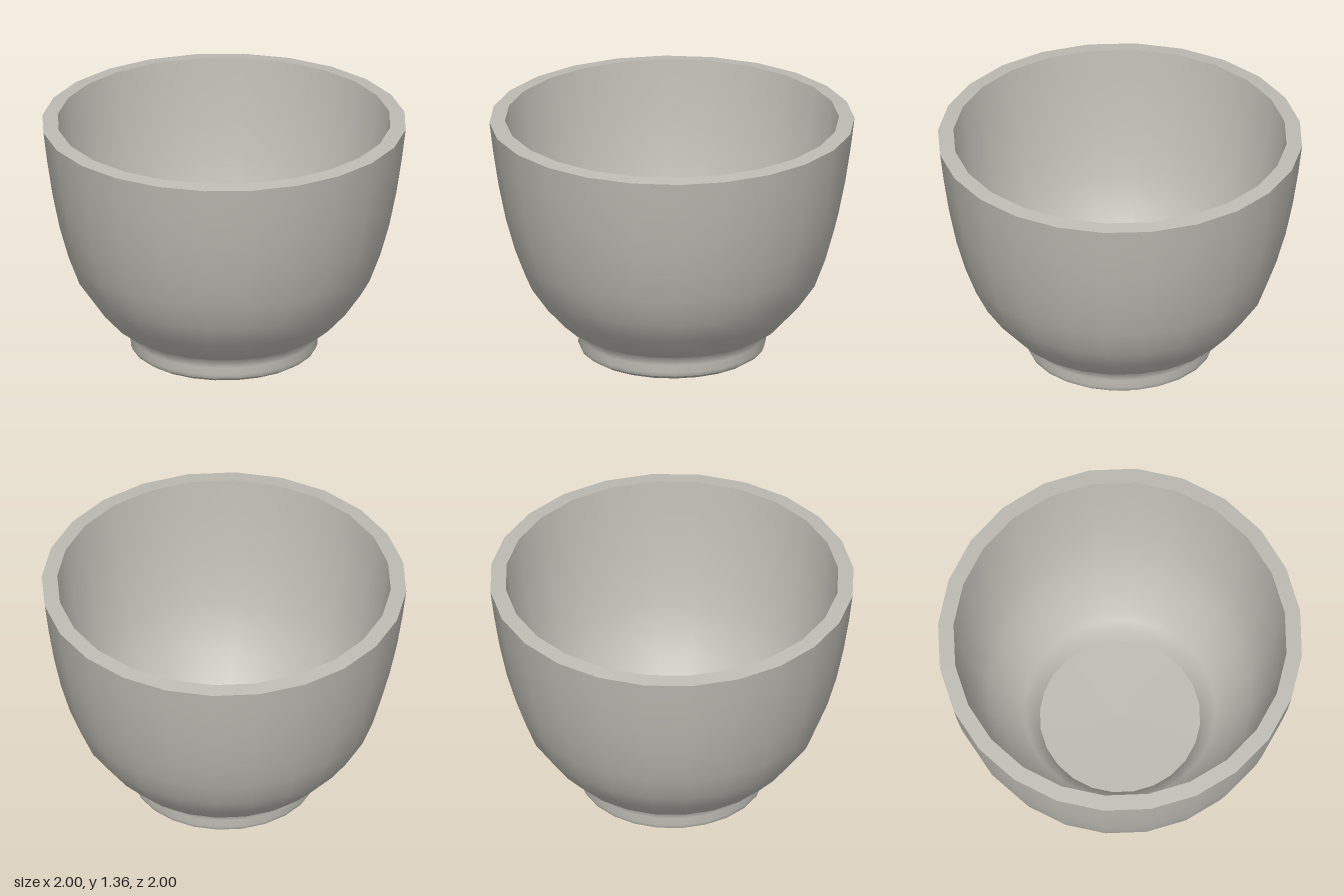
import * as THREE from 'three';

const SIDES = 24;

// Revolves a [radius, height] profile into a smooth band
function band(name, points, material) {
  const profile = points.map(([r, y]) => new THREE.Vector2(r, y));
  const mesh = new THREE.Mesh(new THREE.LatheGeometry(profile, SIDES), material);
  mesh.name = name;
  return mesh;
}

export function createModel() {
  const bowl = new THREE.Group();
  bowl.name = 'bowl';
  const clay = new THREE.MeshStandardMaterial({ color: 0xbdbcb4 });
  clay.name = 'grey clay';

  // Each band ends where the surface has a sharp edge
  bowl.add(
    band('footBase', [[0, 0], [0.38, 0], [0.47, 0.012], [0.505, 0.035]], clay),
    band('outerWall', [
      [0.505, 0.035], [0.515, 0.06], [0.508, 0.10], [0.515, 0.145], [0.55, 0.165],
      [0.61, 0.2], [0.71, 0.31], [0.80, 0.44], [0.86, 0.6], [0.91, 0.78],
      [0.95, 0.98], [0.98, 1.18], [1, 1.345],
    ], clay),
    band('rim', [[1, 1.345], [0.915, 1.355]], clay),
    band('innerWall', [
      [0.915, 1.355], [0.895, 1.19], [0.865, 0.99], [0.825, 0.8], [0.78, 0.63],
      [0.725, 0.49], [0.65, 0.37], [0.57, 0.265], [0.525, 0.23], [0.475, 0.18], [0.44, 0.11],
    ], clay),
    band('innerFloor', [[0.44, 0.11], [0, 0.1]], clay),
  );
  return bowl;
}
